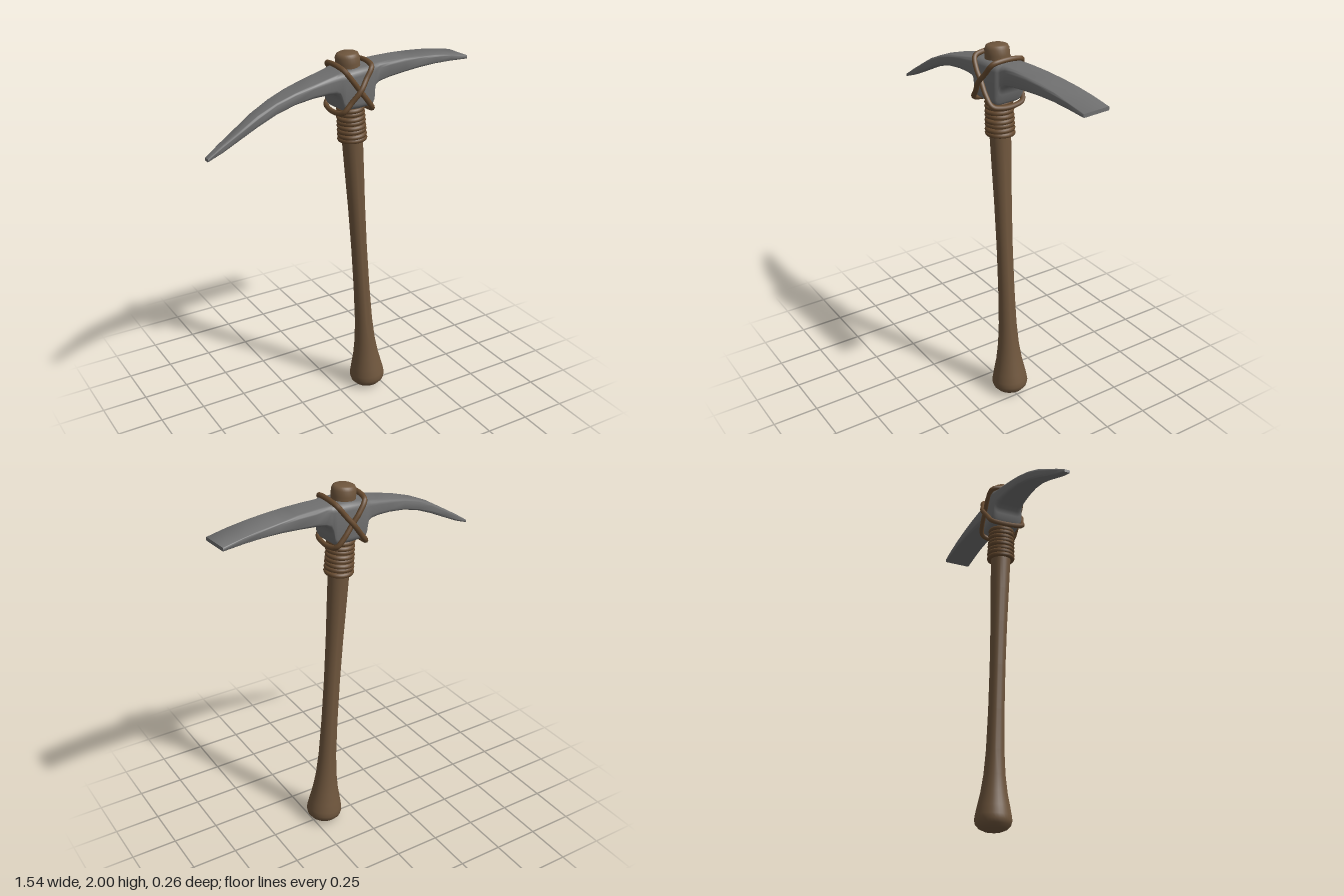
import * as THREE from 'three';
import { toCreasedNormals } from 'three/addons/utils/BufferGeometryUtils.js';

const wood = new THREE.MeshStandardMaterial({ name: 'wood', color: 0x6f563d });
const cord = new THREE.MeshStandardMaterial({ name: 'cord', color: 0x664a2f });
const steel = new THREE.MeshStandardMaterial({ name: 'steel', color: 0x707070 });

function addMesh(parent, name, geometry, material) {
  const mesh = new THREE.Mesh(geometry, material);
  mesh.name = name;
  parent.add(mesh);
  return mesh;
}

// Rounded rectangle ring at one station along x, counter-clockwise seen from +x.
const CORNER_STEPS = 5;
function ring([x, top, bottom, zMin, zMax, roundness]) {
  const h = (top - bottom) / 2, w = (zMax - zMin) / 2;
  const cy = (top + bottom) / 2, cz = (zMin + zMax) / 2;
  const r = Math.min(h, w) * roundness;
  const points = [];
  [[1, 1], [-1, 1], [-1, -1], [1, -1]].forEach(([sx, sy], corner) => {
    for (let k = 0; k <= CORNER_STEPS; k++) {
      const a = (corner + k / CORNER_STEPS) * Math.PI / 2;
      const across = sx * (w - r) + r * Math.cos(a);
      points.push([x - across * 0.08, cy + sy * (h - r) + r * Math.sin(a), cz - across]);
    }
  });
  return points;
}

// Skin the rings and close both ends.
function loft(stations) {
  const rings = stations.map(ring);
  const n = rings[0].length, last = rings.length - 1;
  const positions = rings.flat(2), index = [];
  for (let i = 0; i < last; i++) {
    for (let j = 0; j < n; j++) {
      const a = i * n + j, b = i * n + (j + 1) % n;
      index.push(a, b, a + n, b, b + n, a + n);
    }
  }
  for (const end of [0, last]) {
    const center = positions.length / 3;
    for (let k = 0; k < 3; k++) positions.push(rings[end].reduce((s, p) => s + p[k], 0) / n);
    for (let j = 0; j < n; j++) {
      const a = end * n + j, b = end * n + (j + 1) % n;
      if (end) index.push(center, a, b);
      else index.push(center, b, a);
    }
  }
  const geometry = new THREE.BufferGeometry();
  geometry.setAttribute('position', new THREE.Float32BufferAttribute(positions, 3));
  geometry.setIndex(index);
  return toCreasedNormals(geometry, 0.85);
}

export function createModel() {
  const model = new THREE.Group();
  model.name = 'pickaxe';

  // Leaning shaft with a flared butt
  const shaft = new THREE.Group();
  shaft.name = 'shaft';
  shaft.position.set(0.183, 0.004, 0);
  shaft.rotation.z = 0.0734;
  model.add(shaft);
  const profile = [
    [0, 0], [0.045, 0.005], [0.075, 0.018], [0.093, 0.038], [0.099, 0.06], [0.096, 0.085],
    [0.087, 0.13], [0.072, 0.2], [0.058, 0.3], [0.049, 0.43], [0.044, 0.65], [0.043, 0.9],
    [0.046, 1.15], [0.051, 1.35], [0.055, 1.53], [0.058, 1.75], [0.063, 1.95], [0.062, 1.98],
    [0.055, 1.995], [0.045, 2.0], [0, 2.0],
  ].map(([r, y]) => new THREE.Vector2(r, y));
  addMesh(shaft, 'handle', toCreasedNormals(new THREE.LatheGeometry(profile, 32), 0.7), wood);

  // Stacked cord turns below the head
  for (let i = 0; i < 8; i++) {
    const turn = addMesh(shaft, 'cordTurn',
      new THREE.TorusGeometry(0.065 - i * 0.0006, 0.0135, 8, 32), cord);
    turn.position.y = 1.545 + i * 0.0235;
    turn.rotation.set(Math.PI / 2 + (i % 2 ? 0.03 : -0.03), i % 3 * 0.02 - 0.02, 0);
  }

  // Head, from pick point through socket to flat blade: x, top, bottom, zMin, zMax, roundness
  addMesh(model, 'head', loft([
    [-0.768, 1.616, 1.601, 0.045, 0.076, 0.4],
    [-0.69, 1.668, 1.631, 0.031, 0.077, 0.5],
    [-0.6, 1.723, 1.675, 0.016, 0.078, 0.55],
    [-0.5, 1.783, 1.725, -0.001, 0.079, 0.55],
    [-0.4, 1.828, 1.769, -0.018, 0.08, 0.55],
    [-0.3, 1.86, 1.8, -0.036, 0.081, 0.55],
    [-0.2, 1.885, 1.815, -0.053, 0.082, 0.55],
    [-0.12, 1.902, 1.818, -0.066, 0.083, 0.55],
    [-0.075, 1.912, 1.813, -0.074, 0.084, 0.55],
    [-0.055, 1.917, 1.798, -0.078, 0.086, 0.5],
    [-0.045, 1.92, 1.77, -0.083, 0.088, 0.45],
    [-0.037, 1.922, 1.738, -0.087, 0.09, 0.4],
    [-0.028, 1.924, 1.724, -0.09, 0.092, 0.4],
    [0.055, 1.932, 1.72, -0.092, 0.092, 0.4],
    [0.135, 1.934, 1.724, -0.09, 0.086, 0.4],
    [0.146, 1.934, 1.738, -0.088, 0.08, 0.4],
    [0.152, 1.934, 1.78, -0.086, 0.074, 0.45],
    [0.162, 1.935, 1.813, -0.084, 0.068, 0.5],
    [0.19, 1.936, 1.834, -0.085, 0.062, 0.5],
    [0.25, 1.936, 1.847, -0.09, 0.058, 0.5],
    [0.35, 1.934, 1.859, -0.098, 0.052, 0.5],
    [0.45, 1.928, 1.868, -0.106, 0.045, 0.5],
    [0.55, 1.919, 1.872, -0.114, 0.038, 0.5],
    [0.65, 1.905, 1.871, -0.122, 0.032, 0.45],
    [0.76, 1.884, 1.865, -0.13, 0.024, 0.4],
  ]), steel);

  // Two crossed cord loops lashing the head to the shaft
  for (const side of [-1, 1]) {
    const bulge = side > 0 ? 0.116 : 0.1;
    const half = [
      [0.087, 1.945, 0.04], [0.078, 1.932, 0.086], [0.04, 1.88, 0.101],
      [0, 1.828, bulge], [-0.045, 1.77, 0.102], [-0.083, 1.722, 0.09], [-0.094, 1.708, 0.045],
    ];
    const back = half.map(([x, y, z]) => [x, y, -z]).reverse();
    const points = [...half, ...back].map(([x, y, z]) => new THREE.Vector3(0.05 + side * x, y, z));
    const path = new THREE.CatmullRomCurve3(points, true);
    addMesh(model, side > 0 ? 'leftLashing' : 'rightLashing',
      new THREE.TubeGeometry(path, 96, 0.0135, 8, true), cord);
  }

  return model;
}
